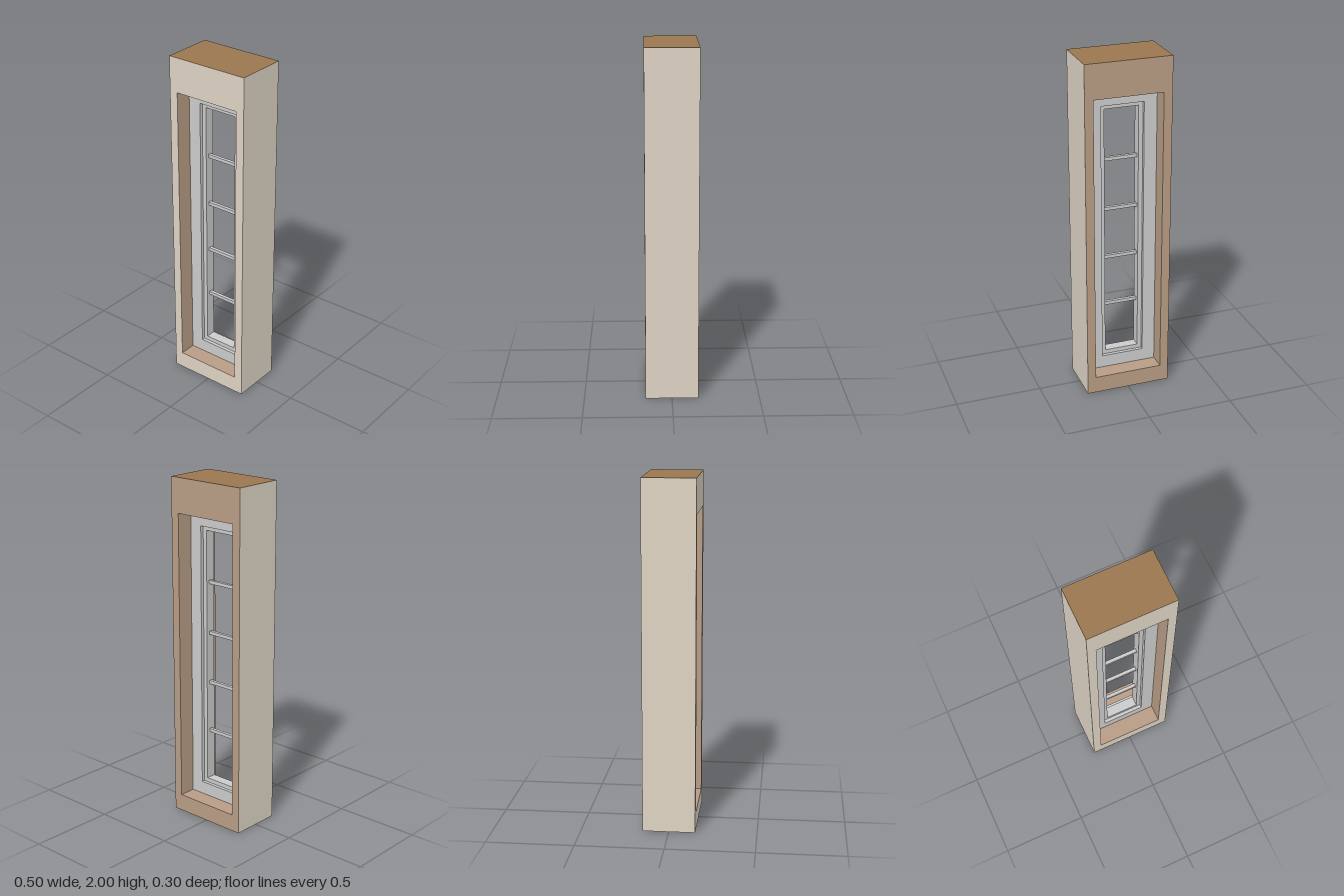
import * as THREE from 'three';

const TAN = 0xded4c4, BROWN = 0xb89d85, DARK_BROWN = 0x99774f, GREY = 0xcccccc;
const W = 0.5, H = 2, D = 0.3;                               // wall block
const OPENING = { x: 0.2, y0: 0.1, y1: 1.8 };                // half width, bottom, top
const FRAME_HOLE = { x: 0.125, y0: 0.175, y1: 1.725 };
const SASH_HOLE = { x: 0.1, y0: 0.2, y1: 1.7 };

const material = (color) => new THREE.MeshStandardMaterial({ color });

function trace(path, { x, y0, y1 }) {
  path.moveTo(-x, y0);
  path.lineTo(x, y0);
  path.lineTo(x, y1);
  path.lineTo(-x, y1);
  path.closePath();
  return path;
}

// Rectangle with a rectangular hole
function ringShape(outer, inner) {
  const shape = trace(new THREE.Shape(), outer);
  shape.holes.push(trace(new THREE.Path(), inner));
  return shape;
}

export function createModel() {
  const model = new THREE.Group();
  model.name = 'windowInWall';

  const add = (parent, name, geometry, color) => {
    const mesh = new THREE.Mesh(geometry, material(color));
    mesh.name = name;
    parent.add(mesh);
    return mesh;
  };

  // Wall block: each face has its own finish
  const wall = new THREE.Group();
  wall.name = 'wall';
  model.add(wall);

  const wallFace = ringShape({ x: W / 2, y0: 0, y1: H }, OPENING);
  add(wall, 'wallFront', new THREE.ShapeGeometry(wallFace), TAN).position.z = D / 2;
  const back = add(wall, 'wallBack', new THREE.ShapeGeometry(wallFace), BROWN);
  back.position.z = -D / 2;
  back.rotation.y = Math.PI;

  // Faces turned up (+1) or down (-1), and faces turned to +x or -x
  const level = (name, width, y, up, color) => {
    const mesh = add(wall, name, new THREE.PlaneGeometry(width, D), color);
    mesh.position.y = y;
    mesh.rotation.x = -up * Math.PI / 2;
  };
  const upright = (name, y0, y1, x, side, color) => {
    const mesh = add(wall, name, new THREE.PlaneGeometry(D, y1 - y0), color);
    mesh.position.set(x, (y0 + y1) / 2, 0);
    mesh.rotation.y = side * Math.PI / 2;
  };

  level('wallTop', W, H, 1, DARK_BROWN);
  level('wallBottom', W, 0, -1, GREY);
  level('sillReveal', OPENING.x * 2, OPENING.y0, 1, BROWN);
  level('headReveal', OPENING.x * 2, OPENING.y1, -1, BROWN);
  for (const [label, s] of [['left', 1], ['right', -1]]) {
    upright(label + 'WallSide', 0, H, s * W / 2, s, TAN);
    upright(label + 'Reveal', OPENING.y0, OPENING.y1, s * OPENING.x, -s, BROWN);
  }

  // Window: outer frame, thinner sash, glazing bars
  const windowUnit = new THREE.Group();
  windowUnit.name = 'window';
  model.add(windowUnit);

  const ring = (name, outer, inner, depth) => {
    const geometry = new THREE.ExtrudeGeometry(ringShape(outer, inner), { depth, bevelEnabled: false });
    add(windowUnit, name, geometry.translate(0, 0, -depth / 2), GREY);
  };
  ring('outerFrame', OPENING, FRAME_HOLE, 0.1);
  ring('sash', FRAME_HOLE, SASH_HOLE, 0.06);

  for (let i = 1; i <= 4; i++) {
    const bar = new THREE.BoxGeometry(SASH_HOLE.x * 2, 0.02, 0.02);
    add(windowUnit, 'glazingBar' + i, bar, GREY).position.y = 0.2 + i * 0.3;
  }

  return model;
}
